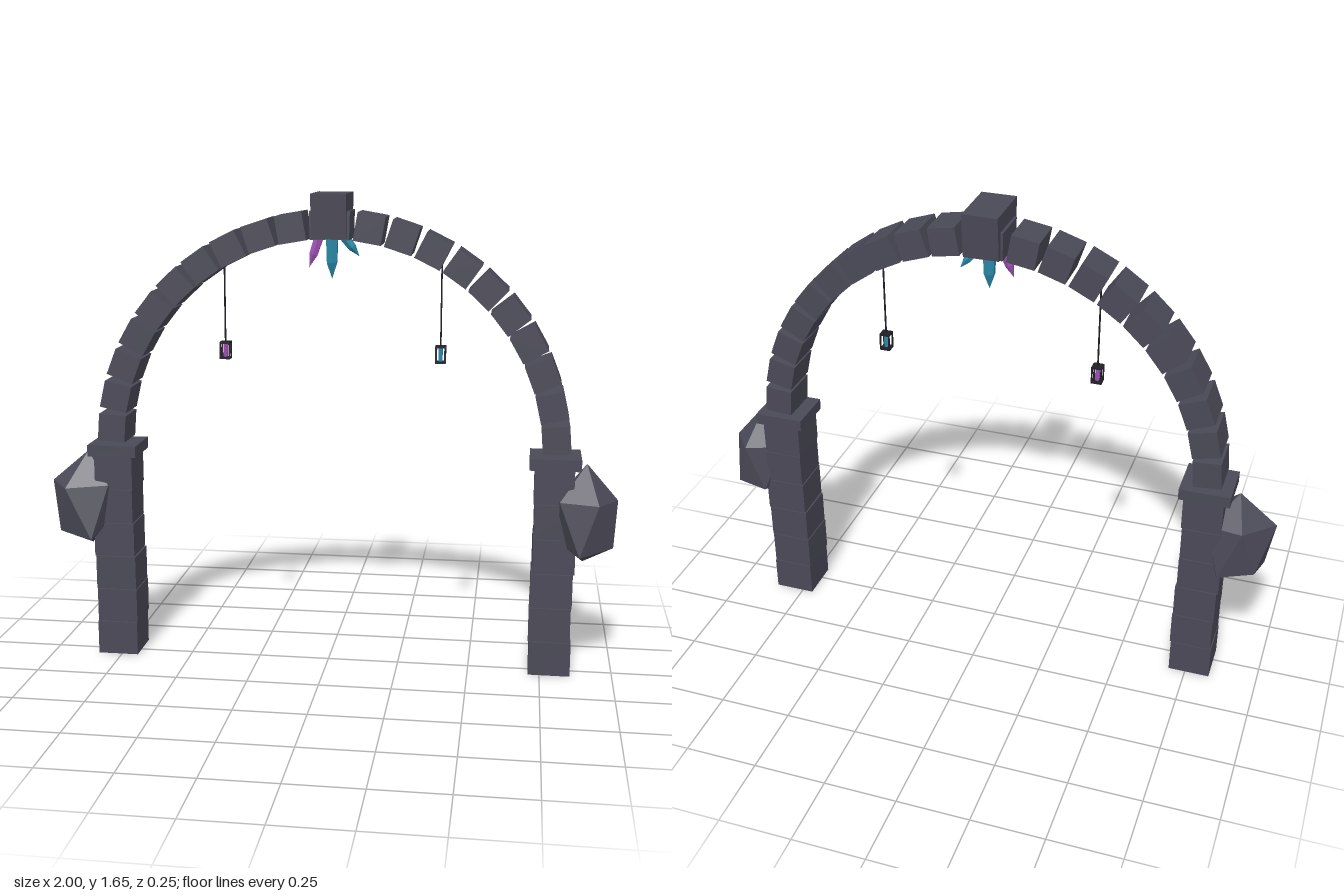
import * as THREE from 'three';
import { ConvexGeometry } from 'three/addons/geometries/ConvexGeometry.js';

const flat = (name, color) => {
  const m = new THREE.MeshStandardMaterial({ color, flatShading: true });
  m.name = name;
  return m;
};

export function createModel() {
  const stone = flat('darkStone', 0x4a4957);
  const iron = flat('blackIron', 0x1f1e26);
  const teal = flat('tealCrystal', 0x2a8bab);
  const violet = flat('violetCrystal', 0xa050b4);
  const CX = 0.01, CZ = -0.02, SPRING = 0.775, R = 0.775;

  const root = new THREE.Group();
  root.name = 'stoneArch';
  const add = (parent, name, geo, mat, x = 0, y = 0, z = 0) => {
    const mesh = new THREE.Mesh(geo, mat);
    mesh.name = name;
    mesh.position.set(x, y, z);
    parent.add(mesh);
    return mesh;
  };
  const box = (w, h, d) => new THREE.BoxGeometry(w, h, d);
  const group = (name) => {
    const g = new THREE.Group();
    g.name = name;
    root.add(g);
    return g;
  };

  // Pillars of slightly uneven blocks, with a cap
  for (const s of [-1, 1]) {
    const pillar = group(s < 0 ? 'rightPillar' : 'leftPillar');
    const x = CX + s * 0.773;
    [0, -0.003, -0.001, 0.003, 0.001, -0.002].forEach((dx, i) => {
      const w = 0.144 - (i > 3 ? 0.008 : 0);
      const block = add(pillar, 'pillarBlock', box(w, 0.12, 0.15), stone, x + dx * s, 0.06 + i * 0.123, CZ);
      block.rotation.y = dx * 4;
    });
    add(pillar, 'pillarCap', box(0.174, 0.04, 0.17), stone, x, 0.755, CZ);
  }

  // Ring of arch stones
  const arch = group('archStones');
  for (const s of [-1, 1]) {
    for (let i = 0; i < 11; i++) {
      const a = THREE.MathUtils.degToRad(1.5 + 8.4 * i) * s;
      const block = add(arch, 'archBlock', box(0.095, 0.096, 0.14), stone,
        CX + Math.sin(a) * R, SPRING + Math.cos(a) * R, CZ);
      block.rotation.z = -a;
    }
  }

  // Keystone, narrower in depth at the bottom
  const keyGeo = box(0.12, 0.15, 0.2);
  const kp = keyGeo.attributes.position;
  for (let i = 0; i < kp.count; i++) if (kp.getY(i) < 0) kp.setZ(i, kp.getZ(i) * 0.87);
  keyGeo.computeVertexNormals();
  add(root, 'keystone', keyGeo, stone, CX, 1.58, CZ);

  // Crystals hanging below the keystone
  const crystals = group('keystoneCrystals');
  const crystal = (mat, from, to, r) => {
    const a = new THREE.Vector3(...from), b = new THREE.Vector3(...to);
    const len = a.distanceTo(b), body = len * 0.65;
    const g = new THREE.Group();
    g.name = 'crystal';
    add(g, 'crystalShaft', new THREE.CylinderGeometry(r, r * 0.85, body, 6), mat, 0, -body / 2);
    const tip = add(g, 'crystalTip', new THREE.ConeGeometry(r * 0.85, len - body, 6), mat, 0, -(body + len) / 2);
    tip.rotation.x = Math.PI;
    g.position.copy(a);
    g.quaternion.setFromUnitVectors(new THREE.Vector3(0, -1, 0), b.sub(a).normalize());
    crystals.add(g);
  };
  crystal(teal, [CX, 1.52, CZ], [CX, 1.365, CZ], 0.023);
  crystal(violet, [-0.025, 1.53, CZ + 0.015], [-0.065, 1.405, CZ + 0.025], 0.018);
  crystal(teal, [0.03, 1.53, CZ - 0.015], [0.1, 1.44, CZ - 0.03], 0.018);

  // Faceted boulders leaning on the pillars
  const boulder = (name, pts) =>
    add(root, name, new ConvexGeometry(pts.map((p) => new THREE.Vector3(...p))), stone);
  boulder('rightBoulder', [
    [-0.87, 0.74, -0.01], [-1, 0.63, 0], [-0.93, 0.62, 0.085], [-0.78, 0.63, 0.06],
    [-0.78, 0.63, -0.08], [-0.9, 0.64, -0.11], [-0.97, 0.45, 0.03], [-0.835, 0.44, 0.105],
    [-0.765, 0.52, 0], [-0.83, 0.45, -0.11], [-0.95, 0.47, -0.08], [-0.86, 0.403, 0],
  ]);
  boulder('leftBoulder', [
    [0.89, 0.75, 0], [1, 0.62, -0.02], [0.92, 0.63, -0.122], [0.8, 0.62, -0.06],
    [0.8, 0.63, 0.08], [0.93, 0.63, 0.115], [0.985, 0.47, 0.05], [0.975, 0.46, -0.09],
    [0.86, 0.455, -0.113], [0.8, 0.47, 0], [0.87, 0.45, 0.125], [0.885, 0.404, 0],
  ]);

  // Hanging lanterns: chain, open frame and a small glowing core
  for (const s of [-1, 1]) {
    const lantern = group(s < 0 ? 'rightLantern' : 'leftLantern');
    lantern.position.set(CX + s * 0.374, 1.112, CZ);
    add(lantern, 'lanternChain', new THREE.CylinderGeometry(0.003, 0.003, 0.29, 6), iron, 0, 0.172);
    for (const e of [-1, 1]) {
      add(lantern, 'lanternPlate', box(0.036, 0.006, 0.036), iron, 0, e * 0.027);
      for (const f of [-1, 1])
        add(lantern, 'lanternPost', box(0.005, 0.054, 0.005), iron, e * 0.0155, 0, f * 0.0155);
    }
    add(lantern, 'lanternCore', new THREE.CylinderGeometry(0.008, 0.008, 0.046, 6), s < 0 ? violet : teal);
  }
  return root;
}
